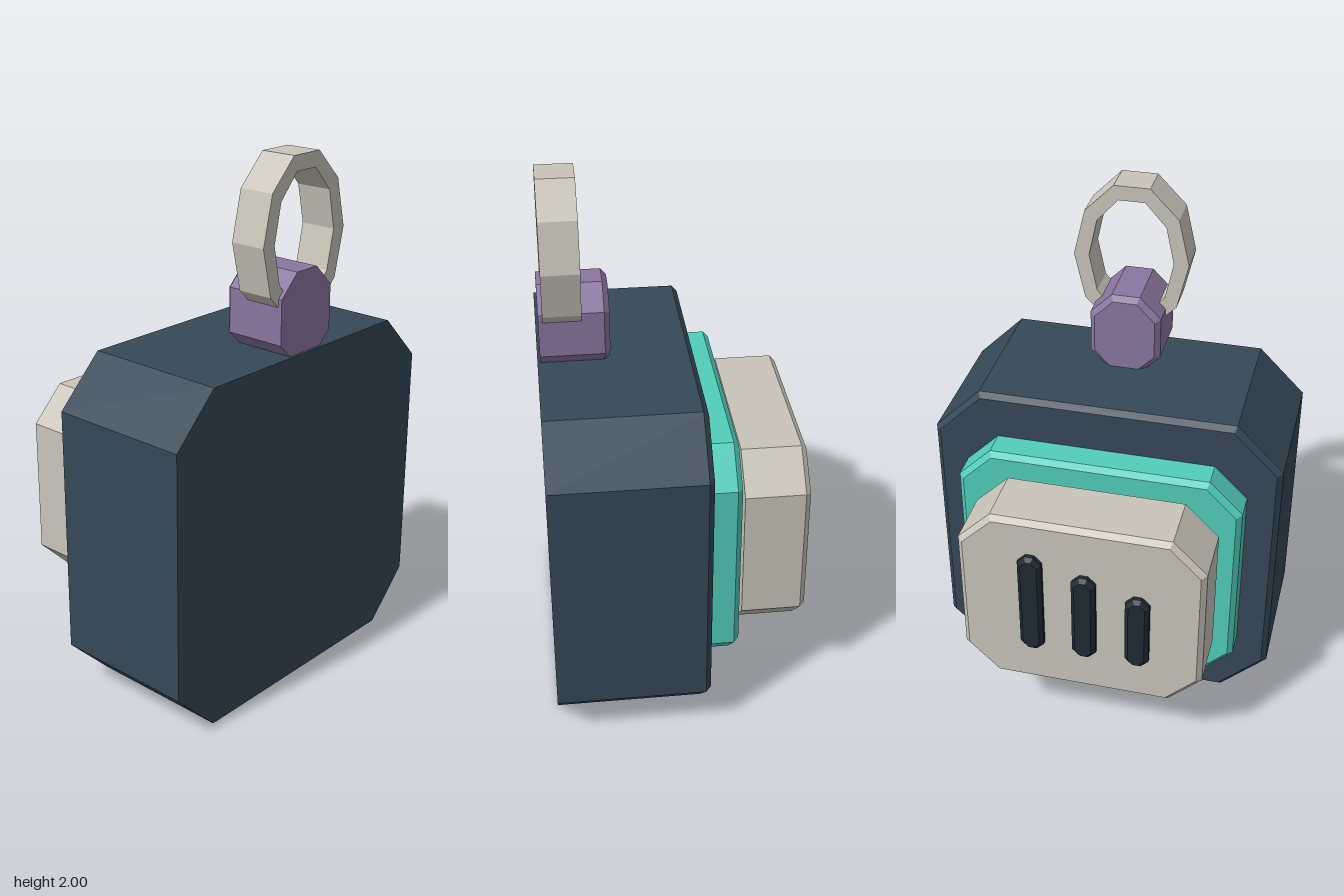
import * as THREE from 'three';

const paint = (name, color) => {
  const m = new THREE.MeshStandardMaterial({ color });
  m.name = name;
  return m;
};

// Corners of a rectangle with cut corners, counter-clockwise seen from +z
function octagon(w, h, cut, z) {
  return [
    [w, cut - h], [w, h - cut], [w - cut, h], [cut - w, h],
    [-w, h - cut], [-w, cut - h], [cut - w, -h], [w - cut, -h],
  ].map(([x, y]) => [x, y, z]);
}

// Cut-corner block from z = front to z = back, bevelled on its back edge only
function block(w, h, cut, front, back, bevel) {
  const loops = [
    octagon(w, h, cut, front),
    octagon(w, h, cut, back + bevel),
    octagon(w - bevel, h - bevel, cut - bevel * 0.586, back),
  ];
  const pos = [];
  const tri = (...pts) => pts.forEach((p) => pos.push(...p));
  for (let k = 0; k < 2; k++) {
    for (let i = 0; i < 8; i++) {
      const j = (i + 1) % 8;
      const [a, b, c, d] = [loops[k][i], loops[k][j], loops[k + 1][j], loops[k + 1][i]];
      tri(a, d, c);
      tri(a, c, b);
    }
  }
  for (let i = 1; i < 7; i++) {
    tri(loops[0][0], loops[0][i], loops[0][i + 1]);
    tri(loops[2][0], loops[2][i + 1], loops[2][i]);
  }
  const geo = new THREE.BufferGeometry();
  geo.setAttribute('position', new THREE.Float32BufferAttribute(pos, 3));
  geo.computeVertexNormals();
  return geo;
}

// Ten-sided oval outline
const oval = (rx, ry) => Array.from({ length: 10 }, (_, i) => {
  const a = (i / 10) * Math.PI * 2;
  return new THREE.Vector2(rx * Math.cos(a), ry * Math.sin(a));
});

export function createModel() {
  const group = new THREE.Group();
  const navy = paint('navy', 0x364857);
  const teal = paint('teal', 0x52cdba);
  const stone = paint('stone', 0xc9c5ba);
  const purple = paint('purple', 0x8a769f);
  const dark = paint('dark slate', 0x1d2a33);

  const add = (name, geo, mat, x, y, z = 0) => {
    const mesh = new THREE.Mesh(geo, mat);
    mesh.name = name;
    mesh.position.set(x, y, z);
    group.add(mesh);
  };

  // Main case and the stacked plates behind it
  add('case', block(0.67, 0.65, 0.18, 0.495, -0.08, 0.02), navy, 0, 0.65);
  add('middlePlate', block(0.545, 0.473, 0.127, -0.07, -0.2, 0.02), teal, 0, 0.648);
  add('backPlate', block(0.468, 0.389, 0.129, -0.22, -0.464, 0.02), stone, 0, 0.648);

  // Three raised bars, sharing a base line and stepping down in height
  [[0.187, 0.45], [-0.016, 0.39], [-0.22, 0.33]].forEach(([x, h], i) => {
    add(`bar${i + 1}`, block(0.046, h / 2, 0.03, -0.455, -0.495, 0.015), dark, x, 0.44 + h / 2);
  });

  // Hanging lug and ring
  add('lug', block(0.136, 0.165, 0.082, 0.485, 0.23, 0.02), purple, 0, 1.435);
  const ringShape = new THREE.Shape(oval(0.22, 0.305));
  ringShape.holes.push(new THREE.Path(oval(0.162, 0.246)));
  const ring = new THREE.ExtrudeGeometry(ringShape, { depth: 0.138, bevelEnabled: false });
  add('ring', ring, stone, 0, 1.71, 0.332);

  return group;
}
